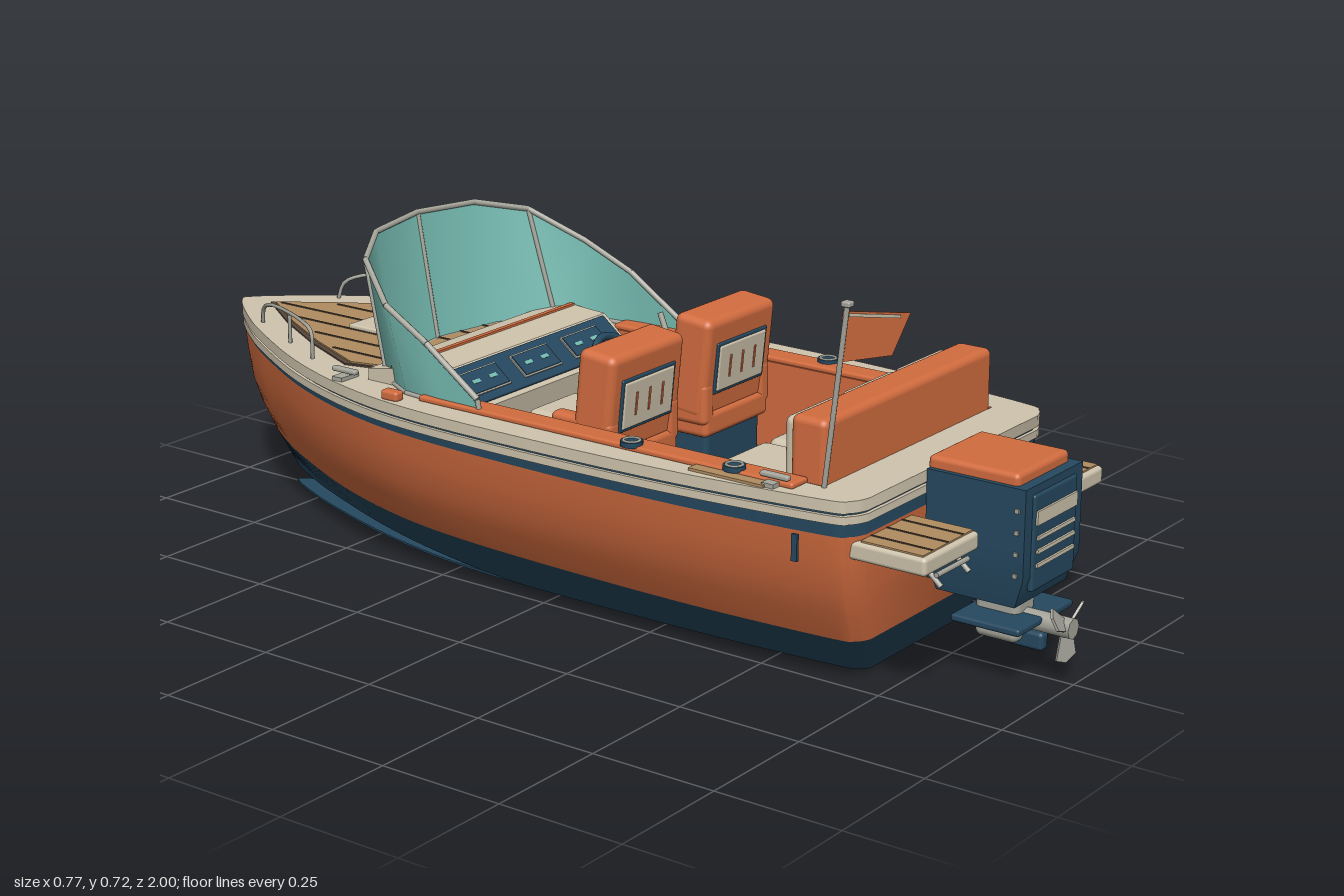
import * as THREE from 'three';
import { toCreasedNormals } from 'three/addons/utils/BufferGeometryUtils.js';
import { RoundedBoxGeometry } from 'three/addons/geometries/RoundedBoxGeometry.js';

const paint = (name, color, side = THREE.FrontSide) => new THREE.MeshStandardMaterial({ name, color, side });
const V = (x, y, z) => new THREE.Vector3(x, y, z);
const V2 = (x, y) => new THREE.Vector2(x, y);
const lerp = THREE.MathUtils.lerp;

export function createModel() {
  const orange = paint('orange', 0xd26c3f, THREE.DoubleSide);
  const navy = paint('navy', 0x25485f, THREE.DoubleSide);
  const cream = paint('cream', 0xcfc4ad);
  const wood = paint('teak', 0xb08c60);
  const caulk = paint('caulking', 0x55463a);
  const metal = paint('metal', 0xa6a69c);
  const glass = paint('teal glass', 0x76bcb2, THREE.DoubleSide);
  const model = new THREE.Group();
  model.name = 'motorboat';

  const add = (name, geo, mat, parent = model) => {
    const m = new THREE.Mesh(geo, mat);
    m.name = name;
    parent.add(m);
    return m;
  };
  const box = (name, mat, [w, h, d], [x, y, z], r = 0, parent = model) => {
    const geo = r ? new RoundedBoxGeometry(w, h, d, 3, r) : new THREE.BoxGeometry(w, h, d);
    const m = add(name, geo, mat, parent);
    m.position.set(x, y, z);
    return m;
  };
  const rod = (name, mat, a, b, r, parent = model) => {
    const m = add(name, new THREE.CylinderGeometry(r, r, a.distanceTo(b), 8), mat, parent);
    m.position.copy(a).lerp(b, 0.5);
    m.quaternion.setFromUnitVectors(V(0, 1, 0), b.clone().sub(a).normalize());
    return m;
  };
  // Skin over rows of points
  const skin = (rows, crease) => {
    const n = rows[0].length, idx = [];
    for (let i = 0; i < rows.length - 1; i++) for (let j = 0; j < n - 1; j++) {
      const a = i * n + j, b = a + n;
      idx.push(a, b, a + 1, b, b + 1, a + 1);
    }
    const g = new THREE.BufferGeometry().setFromPoints(rows.flat());
    g.setIndex(idx);
    g.computeVertexNormals();
    return toCreasedNormals(g, crease);
  };
  // Flat plate lying in x-z, given [x, z] points and its height range
  const plate = (pts, y0, y1, hole) => {
    const shape = new THREE.Shape(pts.map(([x, z]) => V2(x, -z)));
    if (hole) shape.holes.push(new THREE.Path(hole.map(([x, z]) => V2(x, -z))));
    const g = new THREE.ExtrudeGeometry(shape, { depth: y1 - y0, bevelEnabled: false });
    return toCreasedNormals(g.rotateX(-Math.PI / 2).translate(0, y0, 0), 0.5);
  };
  const mirrored = pts => [...pts, ...pts.filter(p => p[0] > 0.001).reverse().map(([x, z]) => [-x, z])];

  // Plan outline: x is t from stern to bow, y the share of full width
  const plan = new THREE.SplineCurve([[0.74, 0.75], [0.725, 0.83], [0.68, 0.885], [0.4, 0.97], [0.1, 1], [-0.2, 0.985],
    [-0.4, 0.9], [-0.6, 0.71], [-0.8, 0.42], [-0.9, 0.24], [-0.97, 0.09], [-1, 0]]
    .map(([z, f]) => V2((0.74 - z) / 1.74, f))).getPoints(66);
  const outline = (w, z0, z1) => mirrored(plan.map(p => [Math.max(0, p.y) * w, lerp(z0, z1, p.x)]));

  // Hull levels: half width, stern z, bow z, stern y, bow y
  const levels = [[0.2, 0.67, -0.86, 0, 0.04], [0.3, 0.715, -0.92, 0.09, 0.12], [0.335, 0.725, -0.955, 0.15, 0.175],
    [0.357, 0.732, -0.975, 0.2, 0.22], [0.373, 0.738, -0.987, 0.26, 0.28], [0.38, 0.74, -0.993, 0.31, 0.328],
    [0.382, 0.74, -0.997, 0.345, 0.348]];
  const band = (from, to) => {
    const rings = levels.slice(from, to + 1).map(([w, z0, z1, y0, y1], k) => {
      const ring = outline(w, z0, z1).map(([x, z]) => {
        const t = (z0 - z) / (z0 - z1);
        const s = from + k === 0 ? Math.max(0, (t - 0.5) / 0.5) : t;
        return V(x, lerp(y0, y1, s), z);
      });
      return [...ring, ring[0].clone()];
    });
    return skin(rings[0].map((_, i) => rings.map(r => r[i])), 0.6);
  };
  add('lowerHull', band(0, 1), navy);
  add('hullSides', band(1, 5), orange);
  add('hullStripe', band(5, 6), navy);
  add('hullBottom', plate(outline(0.2, 0.67, -0.86), 0, 0.004), navy);

  // Rub rail and deck with cockpit opening
  const well = [[0.285, 0.65], [0.285, -0.4], [-0.285, -0.4], [-0.285, 0.65]];
  add('rubRail', plate(outline(0.386, 0.745, -0.998), 0.335, 0.35, well), cream);
  add('railGroove', plate(outline(0.379, 0.738, -0.99), 0.35, 0.356, well), navy);
  add('deck', plate(outline(0.387, 0.745, -1), 0.356, 0.378, well), cream);

  // Teak foredeck
  const fore = [[0.225, -0.44], [0.24, -0.5], [0.17, -0.65], [0.09, -0.79], [0, -0.92]];
  add('foredeckEdge', plate(mirrored(fore), 0.378, 0.381), caulk);
  add('foredeckTeak', plate(mirrored(fore.map(([x, z]) => [x * 0.96, z * 0.985])), 0.38, 0.384), wood);
  for (let k = -3; k <= 3; k++) {
    const front = -0.89 + Math.abs(k) * 0.06 * 1.7, len = -0.42 - front;
    box('foredeckSeam', caulk, [0.004, 0.002, len], [k * 0.06, 0.385, front + len / 2]);
  }
  box('foreHatch', cream, [0.12, 0.012, 0.13], [0, 0.388, -0.585], 0.004);
  box('hatchHandle', metal, [0.03, 0.008, 0.008], [0, 0.397, -0.545]);

  // Cockpit liner and floor
  box('cockpitFloor', wood, [0.56, 0.02, 1.06], [0, 0.19, 0.12]);
  for (let k = -4; k <= 4; k++) box('floorSeam', caulk, [0.004, 0.002, 0.8], [k * 0.06, 0.201, 0.05]);
  box('sternLiner', cream, [0.57, 0.17, 0.01], [0, 0.28, 0.65]);
  for (const s of [1, -1]) {
    box('cockpitLiner', orange, [0.008, 0.18, 1.05], [s * 0.284, 0.287, 0.125]);
    box('coaming', orange, [0.05, 0.012, 0.85], [s * 0.306, 0.382, 0.19], 0.005);
    box('sternDeckTeak', wood, [0.025, 0.006, 0.16], [s * 0.343, 0.38, 0.49]);
    for (const z of [0.26, 0.485]) {
      const cup = add('cupHolder', new THREE.CylinderGeometry(0.021, 0.021, 0.01, 16), navy);
      cup.position.set(s * 0.32, 0.39, z);
      const ring = add('cupRim', new THREE.TorusGeometry(0.015, 0.003, 6, 16).rotateX(Math.PI / 2), metal);
      ring.position.set(s * 0.32, 0.395, z);
    }
    // Cleats, navigation lights and bow rails
    for (const [x, z] of [[0.305, -0.44], [0.325, 0.575]]) {
      box('cleatBase', metal, [0.05, 0.008, 0.025], [s * x, 0.382, z]);
      box('cleatHorn', metal, [0.014, 0.01, 0.06], [s * x, 0.394, z], 0.004);
    }
    box('navigationLight', s < 0 ? orange : glass, [0.024, 0.02, 0.04], [s * 0.352, 0.386, -0.28], 0.006);
    const rail = new THREE.CatmullRomCurve3([V(s * 0.245, 0.375, -0.58), V(s * 0.242, 0.43, -0.585), V(s * 0.225, 0.44, -0.62),
      V(s * 0.14, 0.428, -0.79), V(s * 0.122, 0.41, -0.825), V(s * 0.115, 0.375, -0.835)]);
    add('bowRail', new THREE.TubeGeometry(rail, 30, 0.004, 6), metal);
    rod('railPost', metal, V(s * 0.19, 0.375, -0.69), V(s * 0.19, 0.435, -0.69), 0.004);
    box('hullVent', navy, [0.006, 0.05, 0.012], [s * 0.358, 0.285, 0.64]);
  }

  // Windscreen: base [x, z] and top [x, y, z], from centre to side
  const half = [[0, -0.465, 0, 0.636, -0.512], [0.155, -0.44, 0.15, 0.63, -0.49], [0.262, -0.37, 0.25, 0.605, -0.43],
    [0.312, -0.28, 0.308, 0.543, -0.33], [0.322, -0.19, 0.32, 0.49, -0.22], [0.324, -0.09, 0.324, 0.405, -0.095]];
  const panes = [...half.slice(1).reverse().map(([a, b, c, d, e]) => [-a, b, -c, d, e]), ...half]
    .map(([a, b, c, d, e]) => [V(a, 0.38, b), V(c, d, e)]);
  add('windscreen', skin([...panes].reverse(), 0.7), glass);
  panes.forEach(([base, top], i) => {
    if ([0, 3, 5, 7, 10].includes(i)) rod('screenPost', metal, base, top, 0.005);
    if (!i) return;
    rod('screenRim', metal, panes[i - 1][1], top, 0.006);
    rod('screenBase', metal, panes[i - 1][0], base, 0.005);
  });

  // Dashboard, extruded across the boat from its side profile
  const profile = new THREE.Shape([[0.4, 0.2], [0.2, 0.2], [0.18, 0.34], [0.26, 0.405], [0.34, 0.41], [0.4, 0.4]].map(p => V2(...p)));
  const dash = new THREE.ExtrudeGeometry(profile, { depth: 0.566, bevelEnabled: false });
  add('dashboard', dash.rotateY(Math.PI / 2).translate(-0.283, 0, 0), cream);
  box('dashTrim', orange, [0.56, 0.006, 0.01], [0, 0.411, -0.34]);
  const panel = new THREE.Group();
  panel.name = 'instrumentPanel';
  panel.position.set(0, 0.374, -0.22);
  panel.rotation.x = 0.68;
  model.add(panel);
  box('panelBoard', navy, [0.53, 0.008, 0.088], [0, 0.004, 0], 0.003, panel);
  for (const x of [-0.16, 0, 0.16]) {
    box('instrumentFrame', metal, [0.115, 0.004, 0.055], [x, 0.009, 0], 0, panel);
    box('instrumentScreen', navy, [0.108, 0.005, 0.048], [x, 0.0105, 0], 0, panel);
    for (const d of [-0.025, 0.025]) box('gauge', glass, [0.022, 0.003, 0.008], [x + d, 0.0125, 0], 0, panel);
  }

  // Steering wheel and throttle
  const helm = new THREE.Group();
  helm.name = 'steeringWheel';
  helm.position.set(0.145, 0.36, -0.125);
  helm.rotation.x = -0.6;
  model.add(helm);
  add('wheelRim', new THREE.TorusGeometry(0.056, 0.008, 8, 28), navy, helm);
  add('wheelHub', new THREE.SphereGeometry(0.016, 12, 8), metal, helm);
  rod('wheelColumn', metal, V(0, 0, 0), V(0, 0, -0.07), 0.009, helm);
  for (const a of [0.5, 2.64, 4.71]) rod('wheelSpoke', metal, V(0, 0, 0), V(Math.cos(a) * 0.055, Math.sin(a) * 0.055, 0), 0.005, helm);
  box('throttleBase', navy, [0.04, 0.05, 0.07], [0.27, 0.37, -0.09], 0.008);
  rod('throttleLever', metal, V(0.27, 0.385, -0.09), V(0.27, 0.435, -0.11), 0.006);

  // Pair of helm seats
  for (const x of [-0.15, 0.15]) {
    const seat = new THREE.Group();
    seat.name = 'helmSeat';
    seat.position.set(x, 0, 0);
    model.add(seat);
    box('seatBase', navy, [0.18, 0.09, 0.2], [0, 0.245, 0.055], 0.012, seat);
    box('seatShell', orange, [0.21, 0.05, 0.22], [0, 0.305, 0.055], 0.012, seat);
    box('seatCushion', cream, [0.145, 0.045, 0.16], [0, 0.345, 0.02], 0.015, seat);
    for (const s of [1, -1]) box('armrest', orange, [0.035, 0.085, 0.14], [s * 0.093, 0.348, 0.095], 0.012, seat);
    const back = new THREE.Group();
    back.name = 'seatBack';
    back.position.set(0, 0.42, 0.125);
    back.rotation.x = 0.1;
    seat.add(back);
    box('backShell', orange, [0.224, 0.2, 0.085], [0, 0, 0], 0.016, back);
    box('backCushion', cream, [0.15, 0.15, 0.03], [0, -0.005, -0.042], 0.012, back);
    box('rearPanelEdge', navy, [0.164, 0.104, 0.008], [0, 0, 0.042], 0.003, back);
    box('rearPanel', cream, [0.152, 0.092, 0.01], [0, 0, 0.044], 0.004, back);
    for (const d of [-0.04, 0, 0.04]) {
      box('rearSeam', orange, [0.005, 0.045, 0.002], [d, 0, 0.0495], 0, back);
      box('frontSeam', caulk, [0.005, 0.1, 0.002], [d, 0, -0.0575], 0, back);
    }
  }

  // Stern bench
  box('benchBase', navy, [0.55, 0.12, 0.2], [0, 0.255, 0.49], 0.01);
  box('benchBack', orange, [0.564, 0.29, 0.075], [0, 0.35, 0.612], 0.014);
  for (const x of [-0.177, 0, 0.177]) {
    box('benchCushion', cream, [0.168, 0.05, 0.165], [x, 0.338, 0.475], 0.016);
    box('benchBackCushion', cream, [0.168, 0.125, 0.035], [x, 0.42, 0.565], 0.014);
    for (const d of [-0.04, 0, 0.04]) box('benchSeam', caulk, [0.004, 0.07, 0.002], [x + d, 0.42, 0.547]);
  }

  // Swim platforms and ladder
  for (const s of [1, -1]) {
    box('swimPlatform', cream, [0.18, 0.034, 0.16], [s * 0.222, 0.284, 0.795], 0.008);
    box('platformTeak', wood, [0.165, 0.004, 0.125], [s * 0.222, 0.302, 0.803]);
    for (const d of [-0.05, 0, 0.05]) box('platformSeam', caulk, [0.004, 0.002, 0.125], [s * 0.222 + d, 0.3045, 0.803]);
    rod('ladderArm', metal, V(-0.228 + s * 0.046, 0.265, 0.86), V(-0.228 + s * 0.046, 0.243, 0.885), 0.005);
  }
  rod('ladderStep', metal, V(-0.28, 0.264, 0.878), V(-0.176, 0.264, 0.878), 0.005);

  // Outboard engine
  const cowl = new THREE.BoxGeometry(0.2, 0.225, 0.2, 1, 4, 1);
  const p = cowl.attributes.position;
  for (let i = 0; i < p.count; i++) if (p.getY(i) < -0.1) p.setXYZ(i, p.getX(i) * 0.9, p.getY(i), p.getZ(i) * 0.8);
  cowl.translate(0, 0.268, 0.845);
  add('engineCowling', toCreasedNormals(cowl, 0.4), navy);
  box('cowlingFace', navy, [0.15, 0.18, 0.012], [0, 0.275, 0.944], 0.005);
  box('engineTop', orange, [0.18, 0.03, 0.185], [0, 0.387, 0.832], 0.01);
  box('engineBracket', navy, [0.12, 0.16, 0.06], [0, 0.24, 0.745]);
  box('engineBadgePlate', cream, [0.14, 0.026, 0.006], [0, 0.322, 0.951]);
  for (const y of [0.284, 0.259, 0.233]) box('engineVent', cream, [0.13, 0.007, 0.006], [0, y, 0.951]);
  for (const s of [1, -1]) for (let k = 0; k < 4; k++) box('cowlingBolt', metal, [0.006, 0.008, 0.008], [s * 0.101, 0.22 + k * 0.04, 0.93]);
  box('engineLeg', metal, [0.07, 0.11, 0.09], [0, 0.115, 0.855], 0.015);
  box('cavitationPlate', navy, [0.195, 0.014, 0.14], [0, 0.112, 0.87], 0.005);
  box('skeg', navy, [0.025, 0.035, 0.07], [0, 0.068, 0.905], 0.008);
  rod('propellerShaft', metal, V(0, 0.105, 0.86), V(0, 0.105, 0.995), 0.02);
  const blade = new THREE.Shape([V2(-0.012, 0.01), V2(-0.02, 0.05), V2(0, 0.066), V2(0.02, 0.06), V2(0.012, 0.01)]);
  for (let k = 0; k < 3; k++) {
    const spin = new THREE.Group();
    spin.name = 'propellerBlade';
    spin.position.set(0, 0.105, 0.98);
    spin.rotation.z = Math.PI + k * Math.PI * 2 / 3;
    model.add(spin);
    add('blade', new THREE.ExtrudeGeometry(blade, { depth: 0.005, bevelEnabled: false }), metal, spin).rotation.y = 0.5;
  }

  // Flag on its staff
  rod('flagStaff', metal, V(-0.288, 0.375, 0.652), V(-0.288, 0.715, 0.692), 0.005);
  box('staffCap', metal, [0.018, 0.01, 0.018], [-0.288, 0.715, 0.692], 0.003);
  const flag = new THREE.Group();
  flag.name = 'flag';
  flag.position.set(-0.285, 0.61, 0.68);
  flag.rotation.y = -0.16;
  model.add(flag);
  const cloth = pts => new THREE.ExtrudeGeometry(new THREE.Shape(pts.map(q => V2(...q))), { depth: 0.004, bevelEnabled: false });
  add('flagCloth', cloth([[0, 0], [0.127, -0.015], [0.173, 0.053], [0, 0.09]]), orange, flag);
  add('flagStripe', cloth([[0.012, 0.078], [0.145, 0.049], [0.145, 0.055], [0.012, 0.084]]).translate(0, 0, 0.002), cream, flag);
  return model;
}
